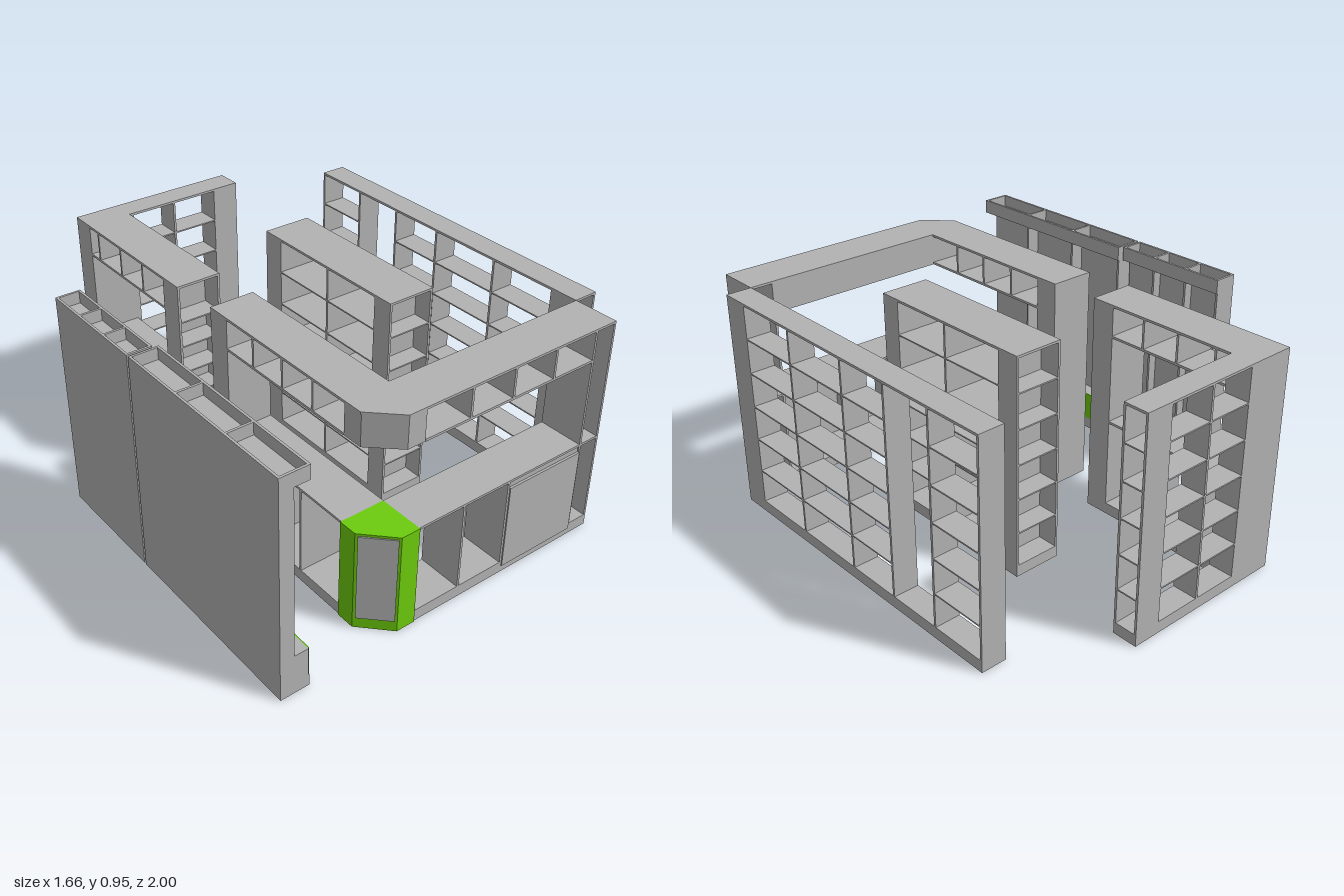
import * as THREE from 'three';

const T = 0.01;            // board thickness
const H = 0.95;            // full height
const PLINTH = 0.05;
const COUNTER = 0.44;
const HEADER = 0.81;
const SHELVES = [0.2, 0.35, 0.5, 0.65, 0.8];

export function createModel() {
  const grey = new THREE.MeshStandardMaterial({ color: 0xb2b2b2 });
  grey.name = 'board grey';
  const green = new THREE.MeshStandardMaterial({ color: 0x6ccb0d });
  green.name = 'accent green';

  const model = new THREE.Group();
  model.name = 'shopFurniture';
  let unit = model;
  const startUnit = (name) => {
    unit = new THREE.Group();
    unit.name = name;
    model.add(unit);
  };

  // Box given by its limits on each axis
  const box = (name, x0, x1, y0, y1, z0, z1, mat = grey) => {
    const m = new THREE.Mesh(new THREE.BoxGeometry(x1 - x0, y1 - y0, z1 - z0), mat);
    m.position.set((x0 + x1) / 2, (y0 + y1) / 2, (z0 + z1) / 2);
    m.name = name;
    unit.add(m);
  };
  // Upright boards, centred on x or z
  const acrossX = (name, x, y0, y1, z0, z1) => box(name, x - T / 2, x + T / 2, y0, y1, z0, z1);
  const acrossZ = (name, z, y0, y1, x0, x1) => box(name, x0, x1, y0, y1, z - T / 2, z + T / 2);
  const shelf = (name, y, x0, x1, z0, z1, t = 0.006) => box(name, x0, x1, y - t, y, z0, z1);
  const shelves = (x0, x1, z0, z1, levels = SHELVES) =>
    levels.forEach((y) => shelf('shelf', y, x0, x1, z0, z1));

  // Hollow plinth: floor board on a frame with ribs, open underneath
  const plinth = (x0, x1, z0, z1) => {
    shelf('floorBoard', PLINTH, x0, x1, z0, z1, T);
    const top = PLINTH - T;
    box('plinthSide', x0, x0 + T, 0, top, z0, z1);
    box('plinthSide', x1 - T, x1, 0, top, z0, z1);
    box('plinthEnd', x0 + T, x1 - T, 0, top, z0, z0 + T);
    box('plinthEnd', x0 + T, x1 - T, 0, top, z1 - T, z1);
    const lx = x1 - x0, lz = z1 - z0;
    const n = Math.max(1, Math.round(Math.max(lx, lz) / 0.2));
    for (let i = 1; i < n; i++) {
      if (lz > lx) acrossZ('plinthRib', z0 + (lz * i) / n, 0, top, x0 + T, x1 - T);
      else acrossX('plinthRib', x0 + (lx * i) / n, 0, top, z0 + T, z1 - T);
    }
  };
  const topBoard = (x0, x1, z0, z1) => shelf('topBoard', H, x0, x1, z0, z1, T);

  // Column closed on both x sides, with shelves open to one z end
  const endColumn = (x0, x1, z0, z1, levels) => {
    box('columnSide', x0, x0 + T, PLINTH, H - T, z0, z1);
    box('columnSide', x1 - T, x1, PLINTH, H - T, z0, z1);
    shelves(x0 + T, x1 - T, z0, z1, levels);
  };

  // Outline in x and z pulled up from y0 to y1
  const prism = (name, points, y0, y1, mat) => {
    const shape = new THREE.Shape(points.map(([x, z]) => new THREE.Vector2(x, -z)));
    const geo = new THREE.ExtrudeGeometry(shape, { depth: y1 - y0, bevelEnabled: false });
    geo.rotateX(-Math.PI / 2);
    const m = new THREE.Mesh(geo, mat);
    m.position.y = y0;
    m.name = name;
    unit.add(m);
  };

  // Wall units along the right: back, base, open-topped header, dividers
  const wallRun = (x1, z0, z1, accent) => {
    const x0 = -0.83, n = 3, step = (z1 - z0) / n;
    plinth(x0, x1, z0, z1);
    box('backPanel', x0, -0.77, PLINTH, 0.9, z0, z1);
    box('baseBox', -0.77, x1 - 0.005, PLINTH, 0.175, z0, z1);
    if (accent) box('headerFloor', -0.77, x1, 0.9 - T, 0.9, z0, z1);
    else box('headerFloor', -0.77, x1, 0.89, 0.9, z0, z1);
    box('headerBack', x0, x0 + T, 0.9, H, z0, z1);
    box('headerFront', x1 - T, x1, 0.9, H, z0, z1);
    for (let i = 0; i <= n; i++) {
      const z = Math.min(Math.max(z0 + i * step, z0 + T / 2), z1 - T / 2);
      acrossZ('headerDivider', z, 0.9, H, x0 + T, x1 - T);
      if (i < n) acrossZ('divider', z, 0.175, 0.89, -0.77, x1 - 0.005);
    }
    for (let i = 0; i < n; i++) {
      box('drawerFront', x1 - 0.005, x1, PLINTH, 0.175,
        z0 + i * step + 0.003, z0 + (i + 1) * step - 0.003, accent ? green : grey);
    }
  };
  startUnit('deepWallUnit');
  wallRun(-0.705, 0.12, 1.0, true);
  startUnit('shallowWallUnit');
  wallRun(-0.725, -0.415, 0.11, false);

  // Tall shelf wall on the left, with one open bay
  startUnit('shelfWall');
  {
    const x0 = 0.72, x1 = 0.83, parts = [0.67, 0.357, 0.02, -0.235, -0.48, -0.735];
    plinth(x0, x1, -0.74, 0.79);
    topBoard(x0, x1, -0.74, 0.79);
    parts.forEach((z) => acrossZ('partition', z, PLINTH, H - T, x0, x1));
    for (let i = 0; i < 5; i++) if (i !== 3) shelves(x0, x1, parts[i + 1], parts[i]);
    endColumn(x0, x1, 0.67, 0.79);
  }

  // Free-standing island shelf
  startUnit('islandShelf');
  {
    const x0 = 0.145, x1 = 0.36;
    plinth(x0, x1, -0.4, 0.39);
    topBoard(x0, x1, -0.4, 0.39);
    [0.303, 0.01, -0.303].forEach((z) => acrossZ('partition', z, PLINTH, H - T, x0, x1));
    shelves(x0, x1, -0.303, 0.303);
    endColumn(x0, x1, 0.303, 0.39);
    endColumn(x0, x1, -0.4, -0.303);
  }

  // Back corner unit: shelf row along the back, counter leg coming forward
  startUnit('backCornerUnit');
  {
    const x0 = -0.42, x1 = -0.225, zB = -1, zF = -0.89;
    plinth(x0, x1, zF, -0.205);
    plinth(x0, 0.33, zB, zF);
    topBoard(x0, x1, zF, -0.205);
    topBoard(x0, 0.33, zB, zF);
    [-0.21, 0, 0.215].forEach((x) => acrossX('partition', x, PLINTH, H - T, zB, zF));
    shelves(-0.21, 0.215, zB, zF);
    // shelf column open to the side
    box('columnFront', 0.215, 0.33, PLINTH, H - T, zF - T, zF);
    box('columnBack', 0.215, 0.33, PLINTH, H - T, zB, zB + T);
    shelves(0.215, 0.33, zB + T, zF - T);
    // closed corner
    box('cornerBack', x0, -0.21, PLINTH, H - T, zB, zB + T);
    box('cornerSide', x0, x0 + T, PLINTH, H - T, zB + T, zF);
    acrossZ('cornerFront', zF - T / 2, PLINTH, H - T, x0 + T, -0.215);
    // leg
    shelf('counter', COUNTER, x0, x1, zF, -0.305, T);
    shelf('headerFloor', HEADER + T, x0, x1, zF, -0.305, T);
    [-0.53, -0.76].forEach((z) => acrossZ('divider', z, PLINTH, COUNTER - T, x0, x1));
    [-0.47, -0.64, -0.82].forEach((z) => acrossZ('headerDivider', z, HEADER + T, H - T, x0, x1));
    acrossZ('partition', -0.305, PLINTH, H - T, x0, x1);
    endColumn(x0, x1, -0.305, -0.205, [0.2, 0.32, 0.45, 0.56, 0.68, 0.79]);
  }

  // Front corner counter with header, chamfered at the corner
  startUnit('frontCornerCounter');
  {
    const x0 = -0.405, x1 = -0.21, zB = 0.79, zF = 0.985, xE = 0.72;
    const corner = (g) => [[x0 - g, zB], [x0 - g, 0.875 - g], [-0.29 - g, zF + g], [x1, zF + g], [x1, zB]];
    plinth(x0, x1, 0, zB);
    plinth(x1, xE, zB, zF);
    prism('cornerCabinet', corner(0.004), 0, COUNTER, green);
    // grey plate on the slanted face
    const plate = new THREE.Mesh(new THREE.BoxGeometry(0.145, 0.38, 0.006), grey);
    plate.name = 'cornerPlate';
    plate.position.set(-0.3525, 0.24, 0.9325);
    plate.rotation.y = -Math.PI / 4;
    unit.add(plate);
    // header and top
    topBoard(x0, x1, 0, zB);
    topBoard(x1, xE, zB, zF);
    prism('cornerTop', corner(0), H - T, H, grey);
    prism('cornerHeader', corner(-0.002), HEADER, H - T, grey);
    shelf('headerFloor', HEADER + T, x0, x1, 0, zB, T);
    shelf('headerFloor', HEADER + T, x1, 0.615, zB, zF, T);
    box('headerBack', x1, 0.615, HEADER + T, H - T, zB, zB + T);
    [0, 0.205, 0.41].forEach((x) => acrossX('headerDivider', x, HEADER + T, H - T, zB + T, zF));
    [0.62, 0.445, 0.27].forEach((z) => acrossZ('headerDivider', z, HEADER + T, H - T, x0, x1));
    // counters and dividers
    shelf('counter', COUNTER, x0, x1, 0.1, zB, T);
    shelf('counter', COUNTER, x1, xE - T, zB, zF, T);
    [0.555, 0.32].forEach((z) => acrossZ('divider', z, PLINTH, COUNTER - T, x0, x1));
    [0.01, 0.235].forEach((x) => acrossX('divider', x, PLINTH, COUNTER - T, zB, zF));
    acrossX('partition', 0.618, PLINTH, H - T, zB, zF);
    box('endPanel', xE - T, xE, PLINTH, H - T, zB, zF);
    // cabinet front
    box('cabinetFront', 0.24, 0.615, PLINTH, COUNTER - T, zF - 0.015, zF - 0.005);
    box('cabinetDoor', 0.24, 0.615, 0.03, 0.405, zF - 0.005, zF + 0.005);
    // closed column at the end of the leg
    box('legEnd', x0, x1, PLINTH, H - T, 0, T);
    acrossZ('partition', 0.1, PLINTH, H - T, x0, x1);
    endColumn(x0, x1, T, 0.1, []);
  }

  return model;
}
